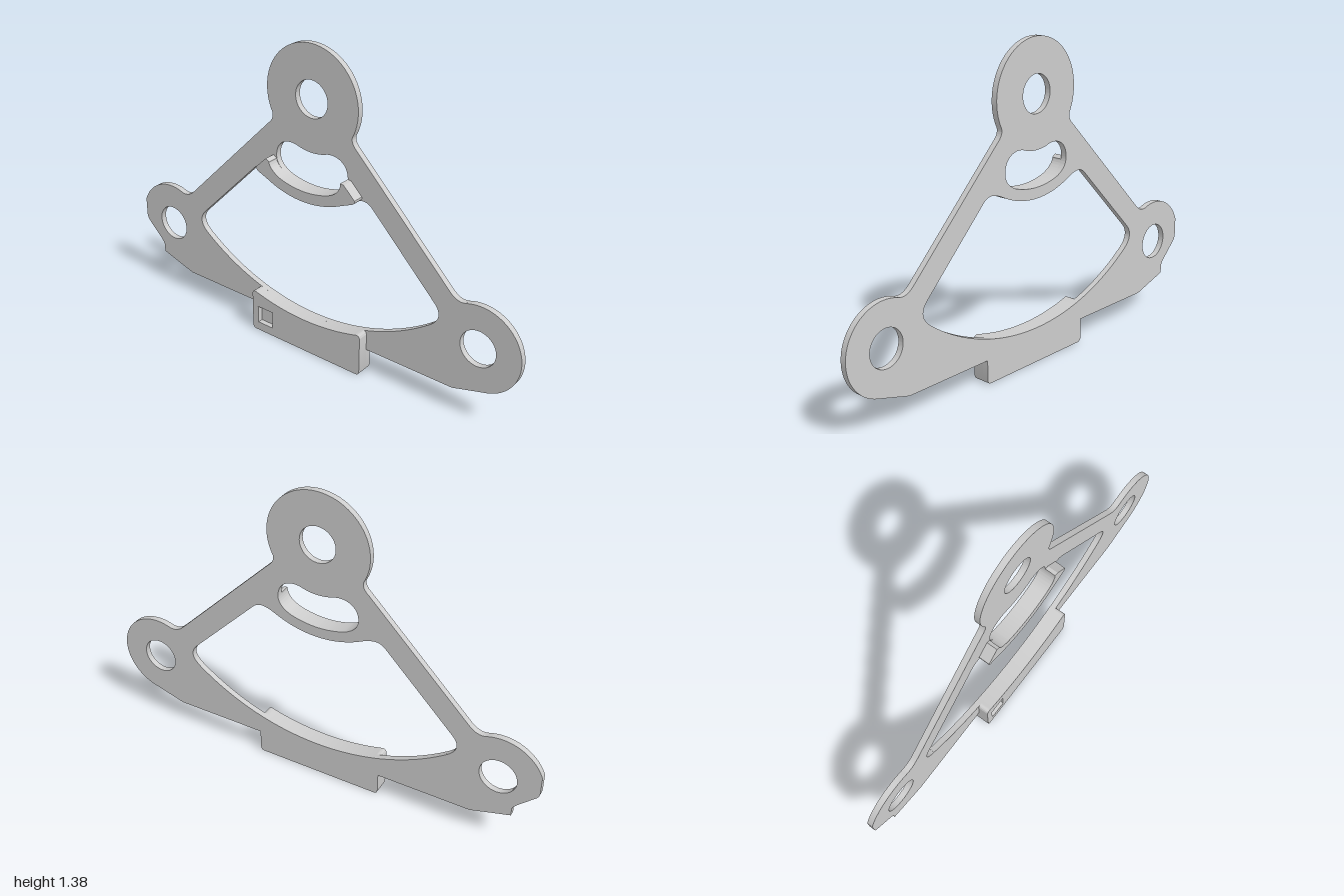
import * as THREE from 'three';
import { toCreasedNormals } from 'three/addons/utils/BufferGeometryUtils.js';

const CX = -0.007, CY = 1.15;              // hub that the arcs share
const BACK = -0.0375, MID = -0.011, FRONT = 0.0375;
const LOBE_X = 0.816, LOBE_Y = 0.333, LOBE_R = 0.19, HOLE_R = 0.08;
const rad = THREE.MathUtils.degToRad;

// All shapes are drawn around x = 0 and shifted to CX when extruded.
function arc(path, x, y, r, from, to, clockwise) {
  path.absarc(x, y, r, rad(from), rad(to), clockwise);
}

function part(name, shape, z0, z1) {
  const geo = new THREE.ExtrudeGeometry(shape, { depth: z1 - z0, bevelEnabled: false, curveSegments: 40 });
  geo.translate(CX, 0, z0);
  const mesh = new THREE.Mesh(toCreasedNormals(geo, 0.5), new THREE.MeshStandardMaterial({ color: 0xcccccc }));
  mesh.name = name;
  return mesh;
}

// Bottom of the block with rounded lower corners, drawn from right to left
function tabBottom(s) {
  s.lineTo(0.293, 0.02);
  s.quadraticCurveTo(0.293, 0, 0.273, 0);
  s.lineTo(-0.273, 0);
  s.quadraticCurveTo(-0.293, 0, -0.293, 0.02);
}

// Lower edge of the kidney slot, from the left end round to the right end
function slotLowerEdge(p) {
  p.bezierCurveTo(-0.183, 0.83, -0.165, 0.805, -0.122, 0.787);
  arc(p, 0, CY, 0.383, 251.4, 288.6, false);
  p.bezierCurveTo(0.165, 0.805, 0.183, 0.83, 0.183, 0.86);
}

// Lower edge of the strap, from the right frame bar to the left one
function strapLowerEdge(p) {
  p.bezierCurveTo(0.275, 0.797, 0.24, 0.79, 0.19, 0.764);
  arc(p, 0, CY, 0.43, -63.8, -116.2, true);
  p.bezierCurveTo(-0.24, 0.79, -0.275, 0.797, -0.303, 0.77);
}

function plateShape() {
  const s = new THREE.Shape();
  s.moveTo(-0.293, 0.105);
  s.lineTo(-0.713, 0.105);
  // notched left lobe
  s.lineTo(-0.888, 0.158);
  s.lineTo(-0.888, 0.19);
  s.quadraticCurveTo(-0.89, 0.205, -0.91, 0.225);
  s.lineTo(-0.982, 0.295);
  s.quadraticCurveTo(-0.993, 0.308, -0.993, 0.325);
  arc(s, -LOBE_X, LOBE_Y, LOBE_R, 158.7, 70, true);
  // left bar, top lobe, right bar
  s.quadraticCurveTo(-0.714, 0.5, -0.678, 0.535);
  s.lineTo(-0.227, 0.99);
  s.quadraticCurveTo(-0.19, 1.022, -0.205, 1.05);
  arc(s, 0, CY, 0.228, 206, -26, true);
  s.quadraticCurveTo(0.19, 1.022, 0.227, 0.99);
  s.lineTo(0.678, 0.535);
  s.quadraticCurveTo(0.714, 0.5, 0.751, 0.512);
  // right lobe and underside
  arc(s, LOBE_X, LOBE_Y, LOBE_R, 110, -74, true);
  s.lineTo(0.713, 0.105);
  s.lineTo(0.293, 0.105);
  tabBottom(s);
  s.closePath();

  // three bolt holes
  for (const [x, y] of [[-LOBE_X, LOBE_Y], [LOBE_X, LOBE_Y], [0, CY]]) {
    const hole = new THREE.Path();
    hole.absarc(x, y, HOLE_R, 0, Math.PI * 2, false);
    s.holes.push(hole);
  }

  // large window
  const w = new THREE.Path();
  w.moveTo(-0.592, 0.35);
  arc(w, 0, CY, 0.995, 233.5, 306.5, false);
  w.bezierCurveTo(0.635, 0.382, 0.65, 0.418, 0.609, 0.46);
  w.lineTo(0.303, 0.77);
  strapLowerEdge(w);
  w.lineTo(-0.609, 0.46);
  w.bezierCurveTo(-0.65, 0.418, -0.635, 0.382, -0.592, 0.35);
  s.holes.push(w);

  // kidney slot
  const k = new THREE.Path();
  k.moveTo(-0.183, 0.86);
  slotLowerEdge(k);
  k.bezierCurveTo(0.183, 0.925, 0.125, 0.95, 0.075, 0.935);
  arc(k, 0, CY, 0.228, -72, -108, true);
  k.bezierCurveTo(-0.125, 0.95, -0.183, 0.925, -0.183, 0.86);
  s.holes.push(k);
  return s;
}

// Raised curved rib with angled ends
function ribShape() {
  const s = new THREE.Shape();
  s.moveTo(-0.183, 0.845);
  slotLowerEdge(s);
  s.lineTo(0.2, 0.857);
  s.lineTo(0.253, 0.805);
  s.quadraticCurveTo(0.257, 0.79, 0.235, 0.783);
  s.lineTo(0.19, 0.764);
  arc(s, 0, CY, 0.43, -63.8, -116.2, true);
  s.lineTo(-0.235, 0.783);
  s.quadraticCurveTo(-0.257, 0.79, -0.253, 0.805);
  s.lineTo(-0.2, 0.857);
  s.closePath();
  return s;
}

// Raised block with a concave top and a square pocket
function blockShape() {
  const s = new THREE.Shape();
  s.moveTo(0.293, 0.175);
  tabBottom(s);
  s.lineTo(-0.293, 0.175);
  s.quadraticCurveTo(-0.293, 0.195, -0.276, 0.194);
  arc(s, 0, CY, 0.995, 253.9, 286.1, false);
  s.quadraticCurveTo(0.293, 0.195, 0.293, 0.175);
  s.holes.push(rectangle(THREE.Path));
  return s;
}

function rectangle(Type) {
  const p = new Type();
  p.moveTo(-0.262, 0.04);
  p.lineTo(-0.18, 0.04);
  p.lineTo(-0.18, 0.12);
  p.lineTo(-0.262, 0.12);
  p.closePath();
  return p;
}

export function createModel() {
  const model = new THREE.Group();
  model.name = 'mountingBracket';
  model.add(
    part('plate', plateShape(), BACK, MID),
    part('curvedRib', ribShape(), MID, FRONT),
    part('lowerBlock', blockShape(), MID, FRONT),
    part('pocketFloor', rectangle(THREE.Shape), MID, 0.014),
  );
  return model;
}
